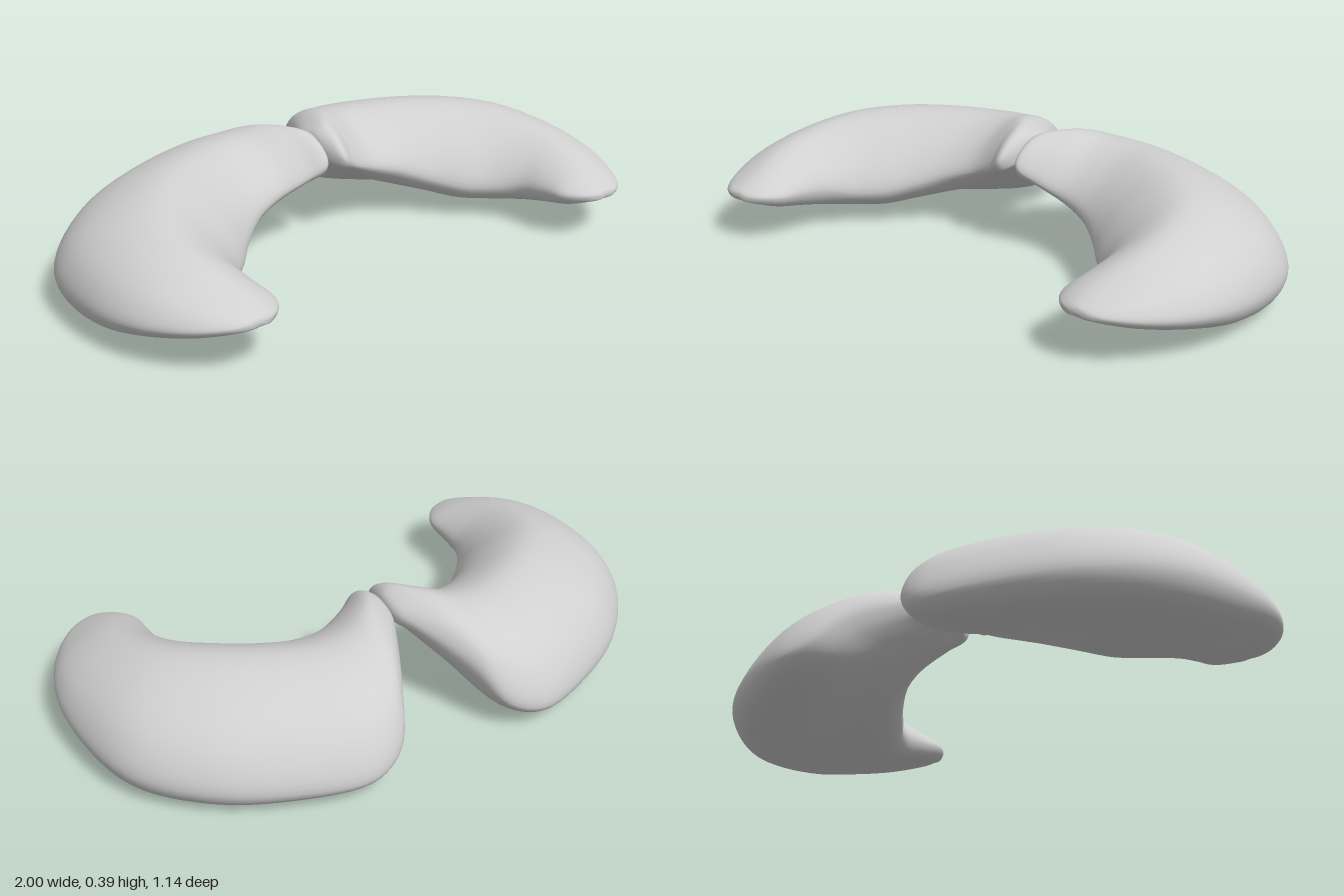
import * as THREE from 'three';

// Stations from the inner end round to the front tip:
// inner edge x, z, y | outer edge x, z, y | crest height | outer bottom | inner bottom
const STATIONS = [
  [0.01, -0.06, 0.315, 0.007, -0.205, 0.33, 0.362, 0.297, 0.29],
  [0.037, -0.004, 0.30, 0.04, -0.28, 0.315, 0.385, 0.275, 0.265],
  [0.10, -0.025, 0.26, 0.13, -0.45, 0.24, 0.392, 0.18, 0.23],
  [0.20, -0.045, 0.22, 0.205, -0.56, 0.13, 0.373, 0.08, 0.18],
  [0.30, -0.02, 0.19, 0.32, -0.598, 0.09, 0.365, 0.03, 0.14],
  [0.40, 0.05, 0.15, 0.56, -0.53, 0.09, 0.365, 0.008, 0.10],
  [0.47, 0.12, 0.13, 0.78, -0.405, 0.10, 0.36, 0.0, 0.075],
  [0.54, 0.19, 0.13, 0.95, -0.20, 0.11, 0.342, 0.003, 0.075],
  [0.59, 0.27, 0.15, 1.0, 0.08, 0.12, 0.308, 0.04, 0.09],
  [0.60, 0.36, 0.16, 0.975, 0.28, 0.135, 0.272, 0.085, 0.11],
  [0.605, 0.45, 0.165, 0.90, 0.43, 0.15, 0.228, 0.118, 0.13],
  [0.645, 0.51, 0.168, 0.82, 0.512, 0.162, 0.195, 0.142, 0.147],
  [0.69, 0.535, 0.168, 0.773, 0.535, 0.166, 0.18, 0.152, 0.154],
];
const INNER_POLE = new THREE.Vector3(0, 0.327, -0.135);
const TIP_POLE = new THREE.Vector3(0.73, 0.166, 0.54);

// Control points of one cross-section: over the top, then back underneath
function section([ix, iz, iy, ox, oz, oy, top, ob, ib]) {
  const mix = THREE.MathUtils.lerp;
  return [
    [0, iy],
    [0.12, mix(iy, top, 0.55)],
    [0.4, top],
    [0.68, mix(oy, top, 0.87)],
    [0.91, mix(oy, top, 0.48)],
    [1, oy],
    [0.93, mix(ob, oy, 0.3)],
    [0.72, mix(ob, ib, 0.08)],
    [0.35, mix(ob, ib, 0.65)],
    [0.07, ib],
  ].map(([f, y]) => new THREE.Vector3(mix(ix, ox, f), y, mix(iz, oz, f)));
}

// Smooth closed loft; side is +1 or -1
function lobeGeometry(side) {
  const rings = 84, around = 60;
  const sections = STATIONS.map(section);
  const rails = sections[0].map((_, k) =>
    new THREE.CatmullRomCurve3([INNER_POLE, ...sections.map((s) => s[k]), TIP_POLE]));

  const positions = [], indices = [];
  const put = (p) => positions.push(side * p.x, Math.max(p.y, 0), p.z);
  const tri = (a, b, c) => (side > 0 ? indices.push(a, b, c) : indices.push(a, c, b));

  for (let j = 1; j < rings; j++) {
    const loop = new THREE.CatmullRomCurve3(rails.map((r) => r.getPoint(j / rings)), true);
    for (let i = 0; i < around; i++) put(loop.getPoint(i / around));
  }
  const start = positions.length / 3, end = start + 1;
  put(INNER_POLE);
  put(TIP_POLE);

  const last = (rings - 2) * around;
  for (let i = 0; i < around; i++) {
    const n = (i + 1) % around;
    for (let row = 0; row < last; row += around) {
      tri(row + i, row + around + i, row + n);
      tri(row + n, row + around + i, row + around + n);
    }
    tri(start, i, n);
    tri(end, last + n, last + i);
  }

  const geometry = new THREE.BufferGeometry();
  geometry.setAttribute('position', new THREE.Float32BufferAttribute(positions, 3));
  geometry.setIndex(indices);
  geometry.computeVertexNormals();
  return geometry;
}

export function createModel() {
  const group = new THREE.Group();
  group.name = 'curvedPair';
  const grey = new THREE.MeshStandardMaterial({ color: 0xd0d0d0 });
  grey.name = 'grey';

  // Mirrored crescent lobes meeting at the centre
  for (const side of [1, -1]) {
    const lobe = new THREE.Mesh(lobeGeometry(side), grey);
    lobe.name = side > 0 ? 'leftCrescent' : 'rightCrescent';
    group.add(lobe);
  }
  return group;
}
